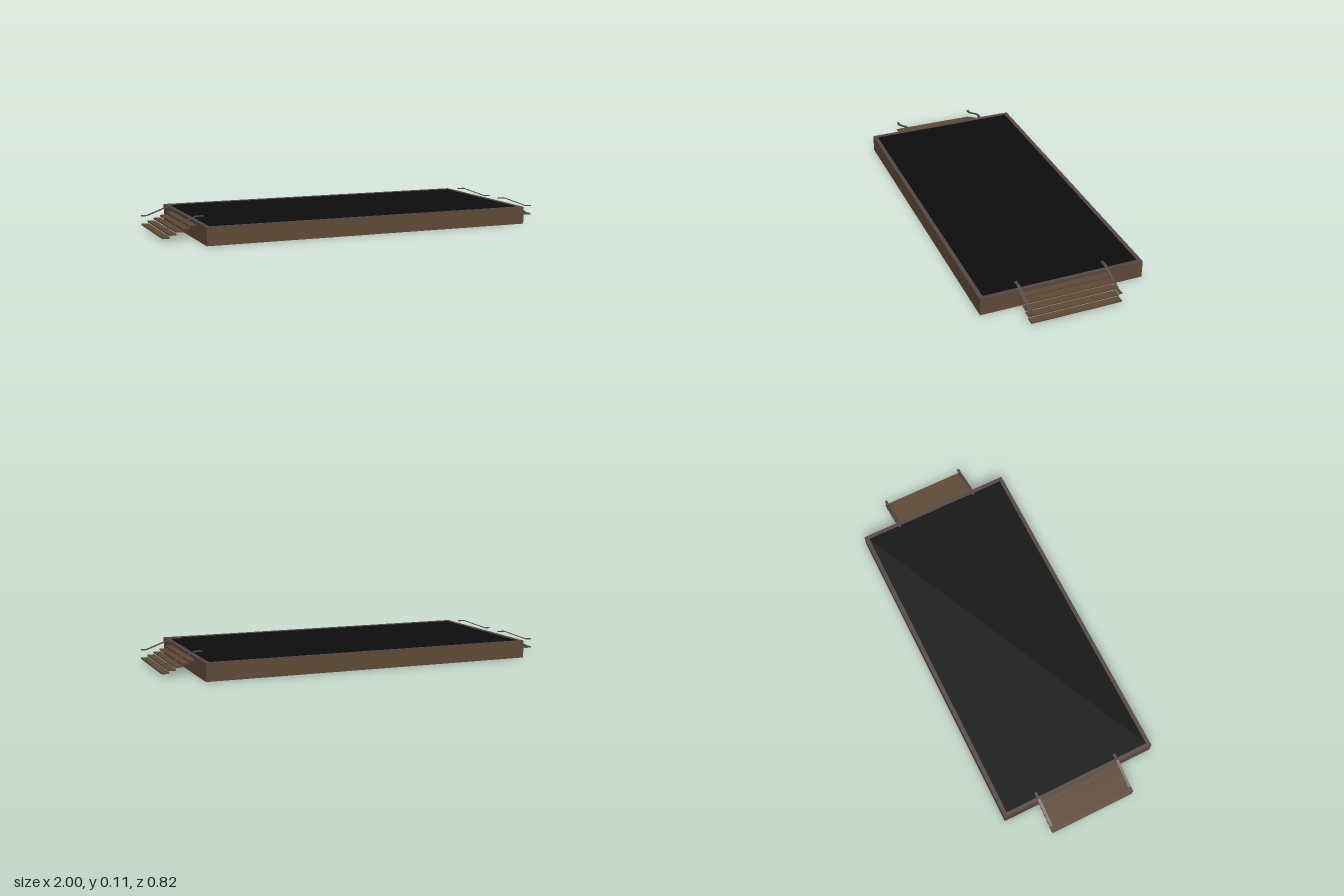
import * as THREE from 'three';

export function createModel() {
  const model = new THREE.Group();
  const brown = new THREE.MeshStandardMaterial({ color: 0x5f4a36 });
  brown.name = 'brown wood';
  const grey = new THREE.MeshStandardMaterial({ color: 0x564845 });
  grey.name = 'grey brown trim';
  const black = new THREE.MeshStandardMaterial({ color: 0x0d0d0d });
  black.name = 'black floor';

  const box = (parent, name, material, size, pos) => {
    const mesh = new THREE.Mesh(new THREE.BoxGeometry(...size), material);
    mesh.position.set(...pos);
    mesh.name = name;
    parent.add(mesh);
  };

  // Platform body and dark floor
  box(model, 'platformBase', brown, [1.68, 0.074, 0.816], [0, 0.037, 0]);
  box(model, 'floor', black, [1.64, 0.01, 0.776], [0, 0.08, 0]);

  // Border: brown fascia along the long sides, grey trim on top and at the ends
  for (const s of [-1, 1]) {
    box(model, 'longFascia', brown, [1.64, 0.011, 0.02], [0, 0.0795, s * 0.398]);
    box(model, 'longTrim', grey, [1.64, 0.003, 0.02], [0, 0.0865, s * 0.398]);
    box(model, 'endTrim', grey, [0.02, 0.014, 0.816], [s * 0.83, 0.081, 0]);
  }

  // Ribbon outline of a handrail, extruded to its width
  const path = [[0.8, 0.111], [0.836, 0.111], [0.972, 0.061], [1, 0.061]];
  const half = 0.0022;
  const outline = [
    ...path.map(([x, y]) => new THREE.Vector2(x, y - half)),
    ...path.map(([x, y]) => new THREE.Vector2(x, y + half)).reverse(),
  ];
  const railGeometry = new THREE.ExtrudeGeometry(new THREE.Shape(outline), { depth: 0.014, bevelEnabled: false });
  railGeometry.translate(0, 0, -0.007);

  // Staircase with floating treads and two handrails
  const makeStairs = (name) => {
    const stairs = new THREE.Group();
    stairs.name = name;
    for (let i = 0; i < 5; i++) {
      box(stairs, 'tread', brown, [0.036, 0.007, 0.447], [0.855 + i * 0.03175, 0.0695 - i * 0.0131, 0.003]);
    }
    for (const z of [0.221, -0.213]) {
      const rail = new THREE.Mesh(railGeometry, grey);
      rail.name = 'handrail';
      rail.position.z = z;
      stairs.add(rail);
    }
    model.add(stairs);
    return stairs;
  };
  makeStairs('leftStairs');
  makeStairs('rightStairs').rotation.y = Math.PI;

  return model;
}
